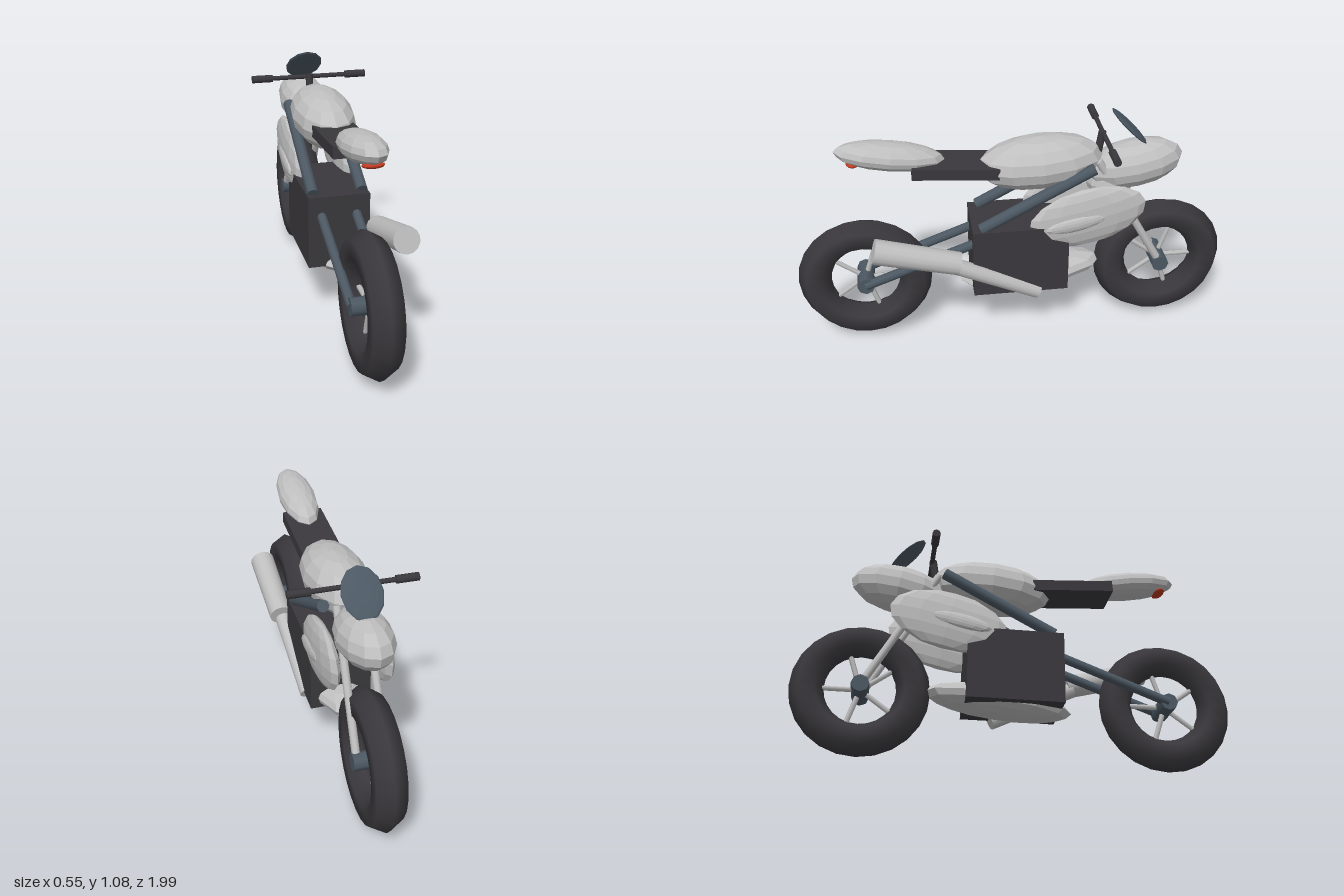
import * as THREE from 'three';

const mat = (name, color, flatShading = false) => {
  const m = new THREE.MeshStandardMaterial({ color, flatShading });
  m.name = name;
  return m;
};

export function createModel() {
  const light = mat('light grey metal', 0xbfbfbf);
  const panel = mat('light grey panel', 0xbfbfbf, true);
  const dark = mat('charcoal', 0x3a383c, true);
  const rubber = mat('rubber', 0x3a383c);
  const slate = mat('slate', 0x4c5863);
  const glass = mat('slate glass', 0x4c5863, true);
  const red = mat('red', 0xc03a22, true);

  const model = new THREE.Group();
  model.name = 'motorcycle';
  const V = (x, y, z) => new THREE.Vector3(x, y, z);

  const add = (name, geometry, material, parent = model) => {
    const m = new THREE.Mesh(geometry, material);
    m.name = name;
    parent.add(m);
    return m;
  };

  // Faceted ellipsoid; positive tilt lifts its nose (-z) end
  const ellipsoid = (name, pos, radii, tilt, material) => {
    const m = add(name, new THREE.SphereGeometry(1, 12, 8), material);
    m.position.set(...pos);
    m.scale.set(...radii);
    m.rotation.x = THREE.MathUtils.degToRad(tilt);
    return m;
  };

  // Straight tube between two points
  const rod = (name, a, b, ra, rb, sides, material, parent = model) => {
    const dir = b.clone().sub(a);
    const m = add(name, new THREE.CylinderGeometry(rb, ra, dir.length(), sides), material, parent);
    m.position.copy(a).add(b).multiplyScalar(0.5);
    m.quaternion.setFromUnitVectors(V(0, 1, 0), dir.normalize());
    return m;
  };

  // Wheels with five spokes
  for (const [name, z] of [['frontWheel', -0.69], ['rearWheel', 0.69]]) {
    const wheel = new THREE.Group();
    wheel.name = name;
    wheel.position.set(0, 0.307, z);
    model.add(wheel);
    add('tyre', new THREE.TorusGeometry(0.232, 0.075, 6, 24), rubber, wheel).rotation.y = Math.PI / 2;
    rod('hub', V(-0.085, 0, 0), V(0.085, 0, 0), 0.04, 0.04, 8, slate, wheel);
    for (let i = 0; i < 5; i++) {
      const a = (i / 5) * Math.PI * 2;
      rod('spoke', V(0, 0, 0), V(0, Math.sin(a) * 0.18, -Math.cos(a) * 0.18), 0.012, 0.012, 6, light, wheel);
    }
  }

  // Engine and belly pan
  add('engine', new THREE.BoxGeometry(0.28, 0.335, 0.435), dark).position.set(0, 0.418, -0.018);
  ellipsoid('bellyPan', [0, 0.285, -0.08], [0.12, 0.07, 0.335], 6, panel);

  // Body shells
  ellipsoid('tank', [0, 0.857, -0.12], [0.14, 0.122, 0.285], 4, panel);
  ellipsoid('noseCowl', [0, 0.82, -0.545], [0.115, 0.11, 0.225], 10, panel);
  ellipsoid('lowerNose', [0, 0.74, -0.44], [0.09, 0.08, 0.11], 0, panel);
  ellipsoid('tailCowl', [0, 0.93, 0.54], [0.088, 0.062, 0.24], -8, panel);
  ellipsoid('tailLight', [0, 0.907, 0.7], [0.047, 0.014, 0.03], -8, red);

  const seat = add('seat', new THREE.BoxGeometry(0.185, 0.052, 0.38), dark);
  seat.position.set(0, 0.863, 0.26);
  seat.rotation.x = -0.07;

  // Mirrored parts
  for (const s of [-1, 1]) {
    rod('frameTube', V(s * 0.112, 0.59, 0.16), V(s * 0.112, 0.86, -0.345), 0.027, 0.027, 8, slate);
    rod('swingArm', V(s * 0.075, 0.307, 0.69), V(s * 0.08, 0.51, 0.15), 0.022, 0.022, 8, slate);
    rod('fork', V(s * 0.064, 0.307, -0.69), V(s * 0.062, 0.87, -0.37), 0.018, 0.018, 8, light);
    ellipsoid('sideFairing', [s * 0.115, 0.62, -0.32], [0.042, 0.142, 0.27], 13, panel);
    ellipsoid('fairingVent', [s * 0.148, 0.605, -0.265], [0.018, 0.036, 0.14], 12, panel);
    rod('grip', V(s * 0.178, 0.972, -0.4), V(s * 0.276, 0.972, -0.4), 0.018, 0.018, 8, rubber);
  }

  // Steering and windscreen
  rod('handlebar', V(-0.18, 0.972, -0.4), V(0.18, 0.972, -0.4), 0.011, 0.011, 8, rubber);
  rod('steeringStem', V(0, 0.86, -0.375), V(0, 0.985, -0.395), 0.018, 0.018, 8, rubber);
  ellipsoid('windscreen', [0, 1.002, -0.515], [0.088, 0.012, 0.115], -45, glass);

  // Exhaust on the +x side
  rod('exhaustPipe', V(0.12, 0.237, -0.1), V(0.147, 0.43, 0.29), 0.037, 0.037, 12, light);
  rod('muffler', V(0.157, 0.447, 0.265), V(0.165, 0.55, 0.64), 0.053, 0.058, 14, light);

  return model;
}
